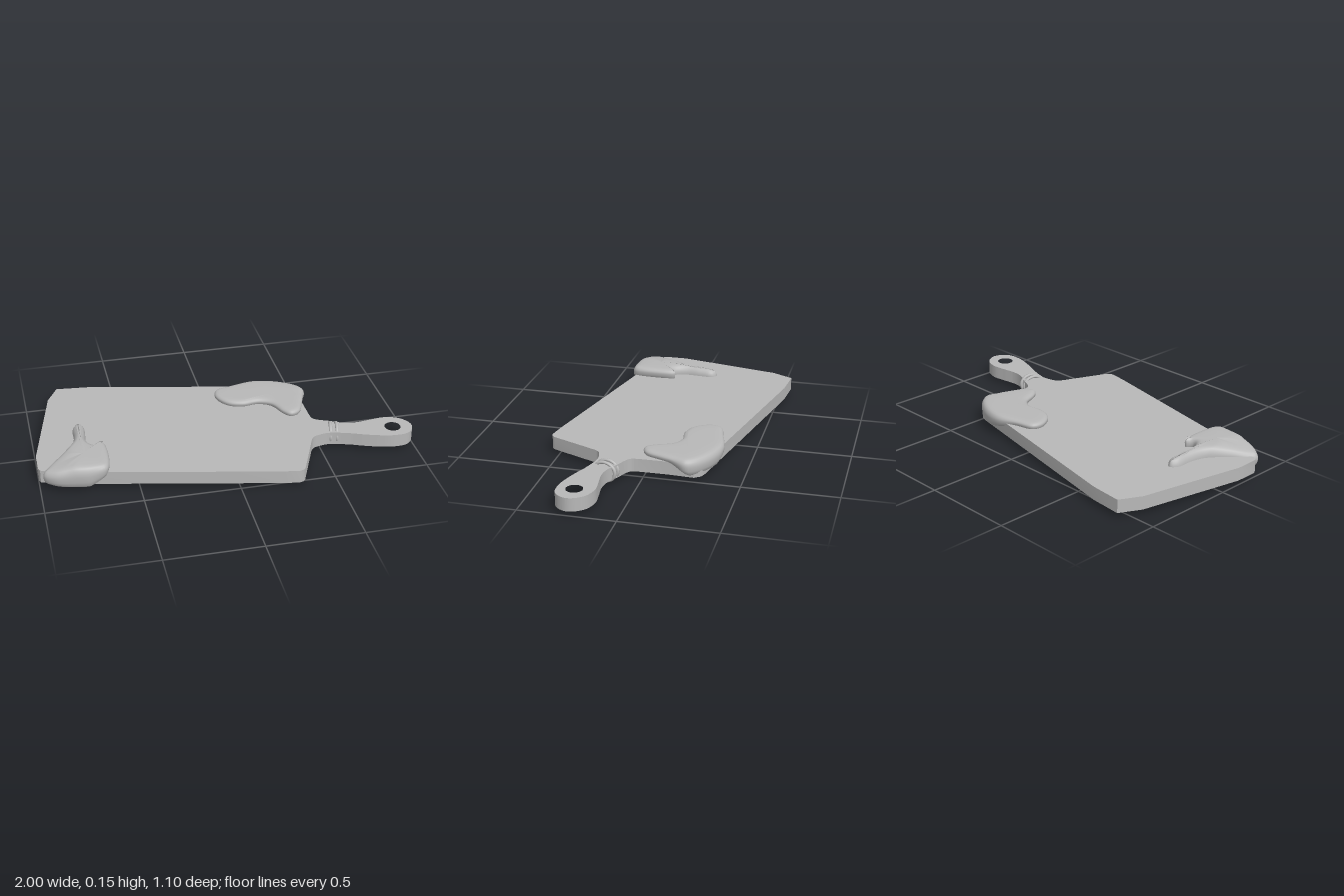
import * as THREE from 'three';
import { toCreasedNormals } from 'three/addons/utils/BufferGeometryUtils.js';

const BOTTOM = 0.023, TOP = 0.094;
const TILT = -0.21; // the board lies turned about the vertical

// Board outline with a shaped handle and a hanging hole; points are [x, z]
function boardGeometry() {
  const v = ([x, z]) => new THREE.Vector2(x, -z);
  const body = [[0.435, 0.275], [0.33, 0.525], [0.317, 0.54], [0.295, 0.547], [0.2, 0.531],
    [-0.83, 0.309], [-0.992, 0.257], [-1, 0.24], [-1, 0.12], [-0.88, -0.44], [-0.82, -0.555],
    [-0.65, -0.54], [0.44, -0.307], [0.473, -0.294], [0.497, -0.261], [0.49, -0.13], [0.492, 0.03]];
  const handle = [[0.5, 0.065], [0.53, 0.088], [0.58, 0.11], [0.65, 0.145], [0.72, 0.155],
    [0.8, 0.145], [0.88, 0.138], [0.95, 0.16], [0.99, 0.205], [1, 0.25], [0.98, 0.295],
    [0.94, 0.322], [0.87, 0.325], [0.8, 0.31], [0.72, 0.283], [0.65, 0.255], [0.55, 0.228],
    [0.48, 0.237], [0.45, 0.253], [0.435, 0.275]];
  const shape = new THREE.Shape(body.map(v));
  shape.splineThru(handle.map(v));
  const hole = new THREE.Path();
  hole.absarc(0.895, -0.238, 0.043, 0, Math.PI * 2, true);
  shape.holes.push(hole);
  const geo = new THREE.ExtrudeGeometry(shape, { depth: TOP - BOTTOM, bevelEnabled: false, curveSegments: 60 });
  geo.rotateX(-Math.PI / 2).translate(0, BOTTOM, 0);
  return toCreasedNormals(geo, 0.6);
}

// Soft pillow: loops follow the outline, inset at the rims, then close on a centre.
// top and bottom give the heights at a point (x, z).
function dripGeometry(outline, centre, top, bottom) {
  const N = 100;
  const curve = new THREE.CatmullRomCurve3(outline.map(([x, z]) => new THREE.Vector3(x, 0, z)), true, 'centripetal');
  // [inset, pull to centre, height fraction]
  const loops = [[0.02, 0.999, 0], [0.02, 0.4, 0], [0.018, 0, 0.02], [0.009, 0, 0.1], [0.002, 0, 0.3], [0, 0, 0.55],
    [0.002, 0, 0.7], [0.007, 0, 0.82], [0.014, 0, 0.91], [0.022, 0.02, 0.96],
    [0.022, 0.15, 0.985], [0.022, 0.5, 1], [0.022, 0.999, 1]];
  const pos = [], index = [];
  loops.forEach(([inset, pull, f], i) => {
    for (let j = 0; j < N; j++) {
      const p = curve.getPointAt(j / N), t = curve.getTangentAt(j / N);
      const x = THREE.MathUtils.lerp(p.x - t.z * inset, centre[0], pull);
      const z = THREE.MathUtils.lerp(p.z + t.x * inset, centre[1], pull);
      pos.push(x, THREE.MathUtils.lerp(bottom(x, z), top(x, z), f), z);
      if (i === loops.length - 1) continue;
      const a = i * N + j, b = i * N + (j + 1) % N;
      index.push(a, a + N, b, b, a + N, b + N);
    }
  });
  const geo = new THREE.BufferGeometry();
  geo.setAttribute('position', new THREE.Float32BufferAttribute(pos, 3));
  geo.setIndex(index);
  geo.computeVertexNormals();
  return geo;
}

export function createModel() {
  const grey = new THREE.MeshStandardMaterial({ color: 0xb8b8b8 });
  grey.name = 'plain grey';
  const model = new THREE.Group();
  model.name = 'cuttingBoard';
  const add = (name, geo) => {
    const mesh = new THREE.Mesh(geo, grey);
    mesh.name = name;
    model.add(mesh);
    return mesh;
  };

  add('board', boardGeometry());

  // Melted drip over the rear corner beside the handle
  add('rearDrip', dripGeometry(
    [[0.03, -0.25], [0.045, -0.31], [0.14, -0.34], [0.27, -0.37], [0.39, -0.345], [0.5, -0.275],
      [0.53, -0.22], [0.505, -0.15], [0.48, -0.08], [0.44, 0.005], [0.39, 0.022], [0.355, -0.015],
      [0.31, -0.11], [0.245, -0.143], [0.16, -0.135], [0.08, -0.165]],
    [0.38, -0.2],
    () => 0.128,
    (x, z) => Math.min(0.085, 0.035 + 0.5 * Math.max(0, z + 0.24) + 0.25 * Math.max(0, 0.35 - x))));

  // Melted drip over the front corner, with one long run
  add('frontDrip', dripGeometry(
    [[-0.98, 0.29], [-0.95, 0.24], [-0.88, 0.17], [-0.81, 0.08], [-0.79, 0], [-0.785, -0.09],
      [-0.755, -0.123], [-0.725, -0.095], [-0.725, -0.025], [-0.73, 0.055], [-0.715, 0.11], [-0.685, 0.135],
      [-0.655, 0.105], [-0.64, 0.14], [-0.645, 0.32], [-0.665, 0.36], [-0.745, 0.37], [-0.85, 0.355],
      [-0.93, 0.335]],
    [-0.765, 0.22],
    (x, z) => 0.147 - 0.25 * Math.max(0, -0.82 - x) - 0.07 * Math.max(0, 0.1 - z),
    (x) => 0.022 + 0.6 * Math.max(0, x + 0.75) + 0.1 * Math.max(0, -0.85 - x)));

  // Cord wound twice round the neck
  [-0.017, 0.017].forEach((offset, i) => {
    const geo = new THREE.TorusGeometry(1, 0.16, 10, 48);
    geo.scale(0.058, 0.05, 0.06);
    geo.rotateY(Math.PI / 2);
    const ring = add('neckRing' + (i + 1), geo);
    ring.position.set(0.585 + offset * 0.98, 0.058, 0.17 + offset * 0.21);
    ring.rotation.y = TILT;
  });
  return model;
}
